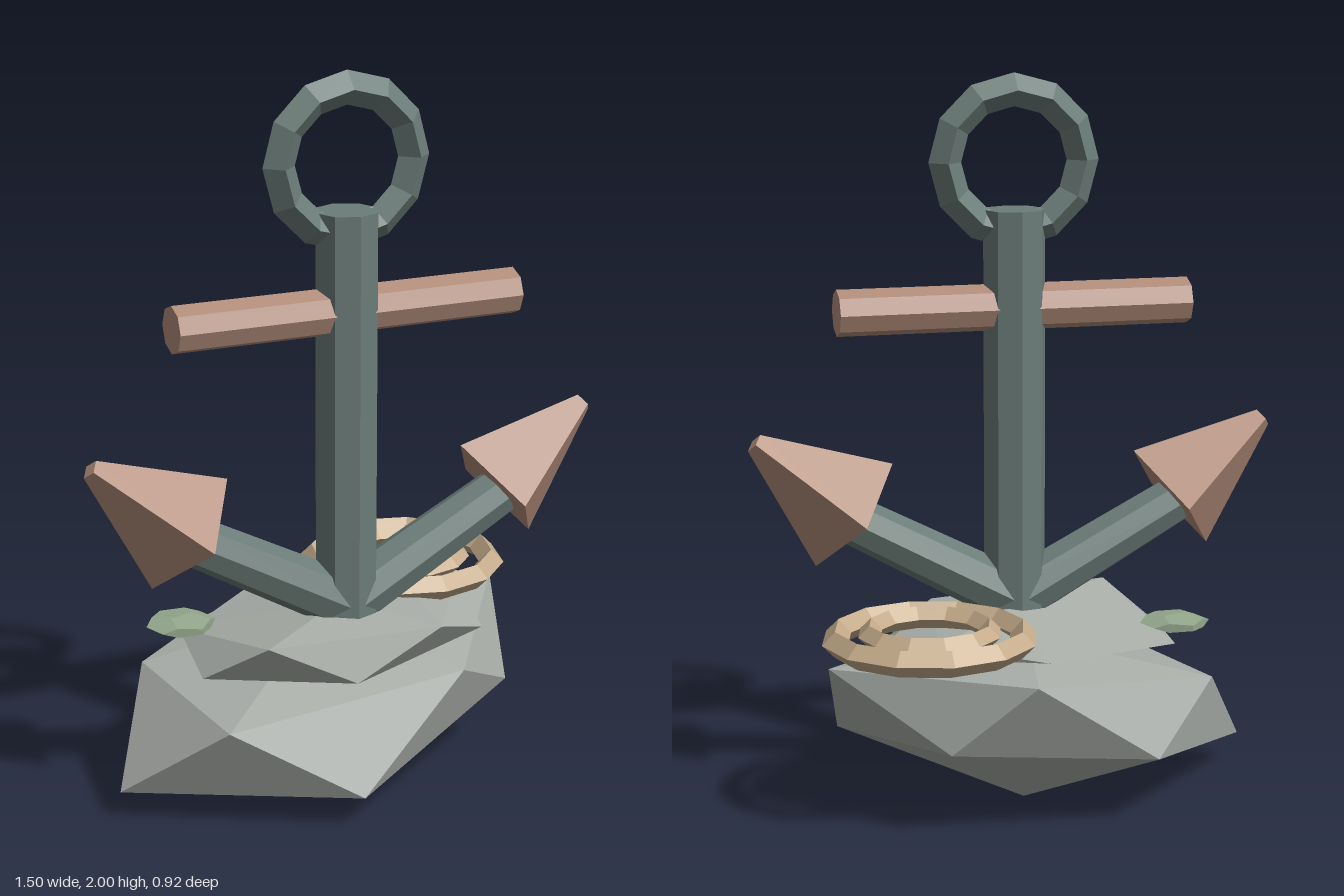
import * as THREE from 'three';
import { ConvexGeometry } from 'three/addons/geometries/ConvexGeometry.js';

const material = (name, color) => {
  const m = new THREE.MeshStandardMaterial({ color });
  m.name = name;
  return m;
};

// Faceted copy of a geometry: every face keeps its own normal
function faceted(geometry) {
  const g = geometry.index ? geometry.toNonIndexed() : geometry;
  g.computeVertexNormals();
  return g;
}

export function createModel() {
  const model = new THREE.Group();
  model.name = 'anchorOnRock';

  const iron = material('iron', 0x6b7c78);
  const copper = material('copper', 0xb08b78);
  const stone = material('stone', 0xa9aea9);
  const hemp = material('hemp', 0xc4ab8a);
  const green = material('moss', 0x94a88c);

  const add = (name, geometry, mat, parent = model) => {
    const mesh = new THREE.Mesh(faceted(geometry), mat);
    mesh.name = name;
    parent.add(mesh);
    return mesh;
  };
  const hull = (points) =>
    new ConvexGeometry(points.map((p) => new THREE.Vector3(...p)));

  // Bar between two points in the anchor's own plane
  const bar = (name, [x0, y0], [x1, y1], r0, r1, sides, mat, parent) => {
    const length = Math.hypot(x1 - x0, y1 - y0);
    const mesh = add(name, new THREE.CylinderGeometry(r1, r0, length, sides), mat, parent);
    mesh.position.set((x0 + x1) / 2, (y0 + y1) / 2, 0);
    mesh.rotation.z = Math.atan2(y1 - y0, x1 - x0) - Math.PI / 2;
    return mesh;
  };

  // Anchor
  const anchor = new THREE.Group();
  anchor.name = 'anchor';
  anchor.position.z = 0.14;
  model.add(anchor);

  bar('shank', [0, 0.49], [0, 1.63], 0.088, 0.088, 8, iron, anchor);
  bar('stock', [-0.5, 1.36], [0.5, 1.36], 0.065, 0.065, 8, copper, anchor);
  const ring = add('ring', new THREE.TorusGeometry(0.195, 0.046, 4, 12), iron, anchor);
  ring.position.y = 1.762;

  for (const [side, s] of [['left', 1], ['right', -1]]) {
    bar(side + 'Arm', [0, 0.53], [s * 0.47, 0.785], 0.08, 0.068, 8, iron, anchor);
    bar(side + 'Fluke', [s * 0.458, 0.795], [s * 0.733, 1.012], 0.177, 0.028, 4, copper, anchor);
  }

  // Boulder and the flat slab resting on it
  add('boulder', hull([
    [-0.09, 0.09, 0.46], [-0.667, 0.08, 0.13], [0.02, 0, -0.035], [0.52, 0.2, 0.11],
    [0.585, 0.435, -0.12], [-0.44, 0.3, 0.36], [0.26, 0.36, 0.35], [-0.27, 0.19, -0.375],
    [0.09, 0.44, -0.46], [0.3, 0.24, -0.355], [-0.5, 0.335, -0.13], [0, 0.46, -0.02],
  ]), stone);
  add('slab', hull([
    [-0.32, 0.515, 0.345], [-0.45, 0.4, 0.2], [-0.07, 0.385, 0.37], [0.42, 0.39, 0.15],
    [0.45, 0.45, -0.08], [0.29, 0.49, -0.17], [0.01, 0.455, -0.29], [-0.4, 0.43, -0.1],
    [0.2, 0.49, 0.33], [0, 0.52, 0.1], [0, 0.39, 0],
  ]), stone);

  // Rope coil
  for (const [name, radius, tube, y] of [['outerRopeLoop', 0.26, 0.036, 0.51], ['innerRopeLoop', 0.166, 0.031, 0.525]]) {
    const loop = add(name, new THREE.TorusGeometry(radius, tube, 4, 12), hemp);
    loop.rotation.x = Math.PI / 2;
    loop.position.set(0.312, y, -0.152);
  }

  // Moss patch
  const moss = add('moss', new THREE.DodecahedronGeometry(0.1), green);
  moss.scale.y = 0.22;
  moss.position.set(-0.42, 0.475, -0.03);
  moss.rotation.y = 0.3;

  return model;
}
